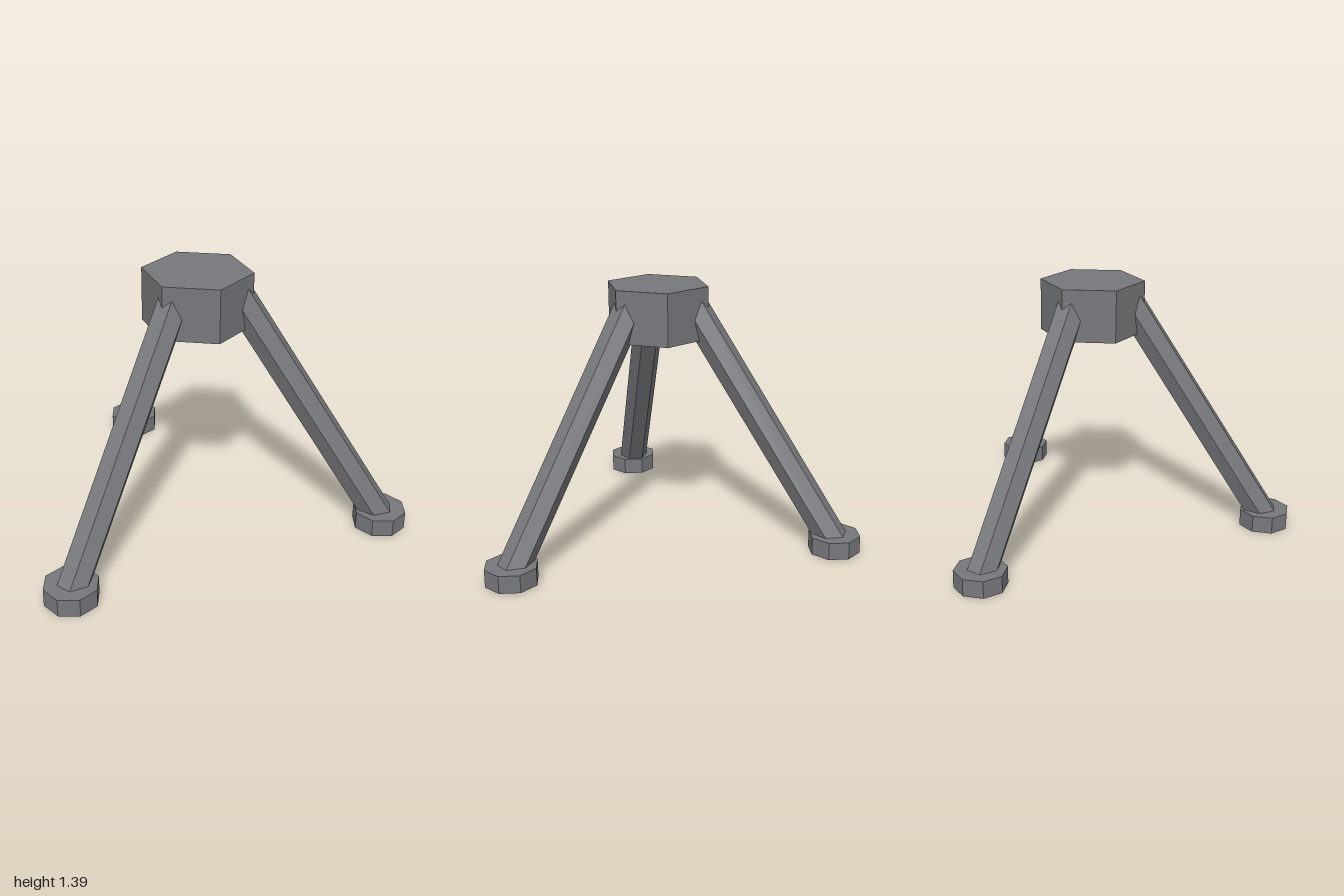
import * as THREE from 'three';

export function createModel() {
  const model = new THREE.Group();
  model.name = 'tripod';
  const grey = new THREE.MeshStandardMaterial({ color: 0x77787c });
  grey.name = 'metal grey';
  grey.flatShading = true;

  const prism = (name, radius, height, sides) => {
    const mesh = new THREE.Mesh(new THREE.CylinderGeometry(radius, radius, height, sides), grey);
    mesh.name = name;
    return mesh;
  };

  // Everything is arranged around the hub axis
  model.position.set(0, 0, 0);
  const tripod = new THREE.Group();
  tripod.name = 'assembly';
  tripod.position.z = 0.245;
  model.add(tripod);

  // Hexagonal hub with corners to the front and back
  const hub = prism('hub', 0.28, 0.28, 6);
  hub.position.y = 1.255;
  tripod.add(hub);

  // Leg axis from the middle of the foot to inside the hub (radius, height)
  const low = new THREE.Vector2(0.99, 0.0475);
  const high = new THREE.Vector2(0.17, 1.325);
  const span = high.clone().sub(low);

  [['back', 90], ['left', -30], ['right', 210]].forEach(([side, degrees]) => {
    const angle = THREE.MathUtils.degToRad(degrees);
    const arm = new THREE.Group();
    arm.name = side + 'Arm';
    arm.rotation.y = angle;

    // Sloping hexagonal leg
    const leg = prism(side + 'Leg', 0.083, span.length(), 6);
    leg.position.set((low.x + high.x) / 2, (low.y + high.y) / 2, 0);
    leg.rotation.z = Math.atan2(-span.x, span.y);

    // Octagonal foot, turned back so its corners stay on the main axes
    const foot = prism(side + 'Foot', 0.14, 0.095, 8);
    foot.position.set(low.x, 0.0475, 0);
    foot.rotation.y = -angle;

    arm.add(leg, foot);
    tripod.add(arm);
  });

  return model;
}
